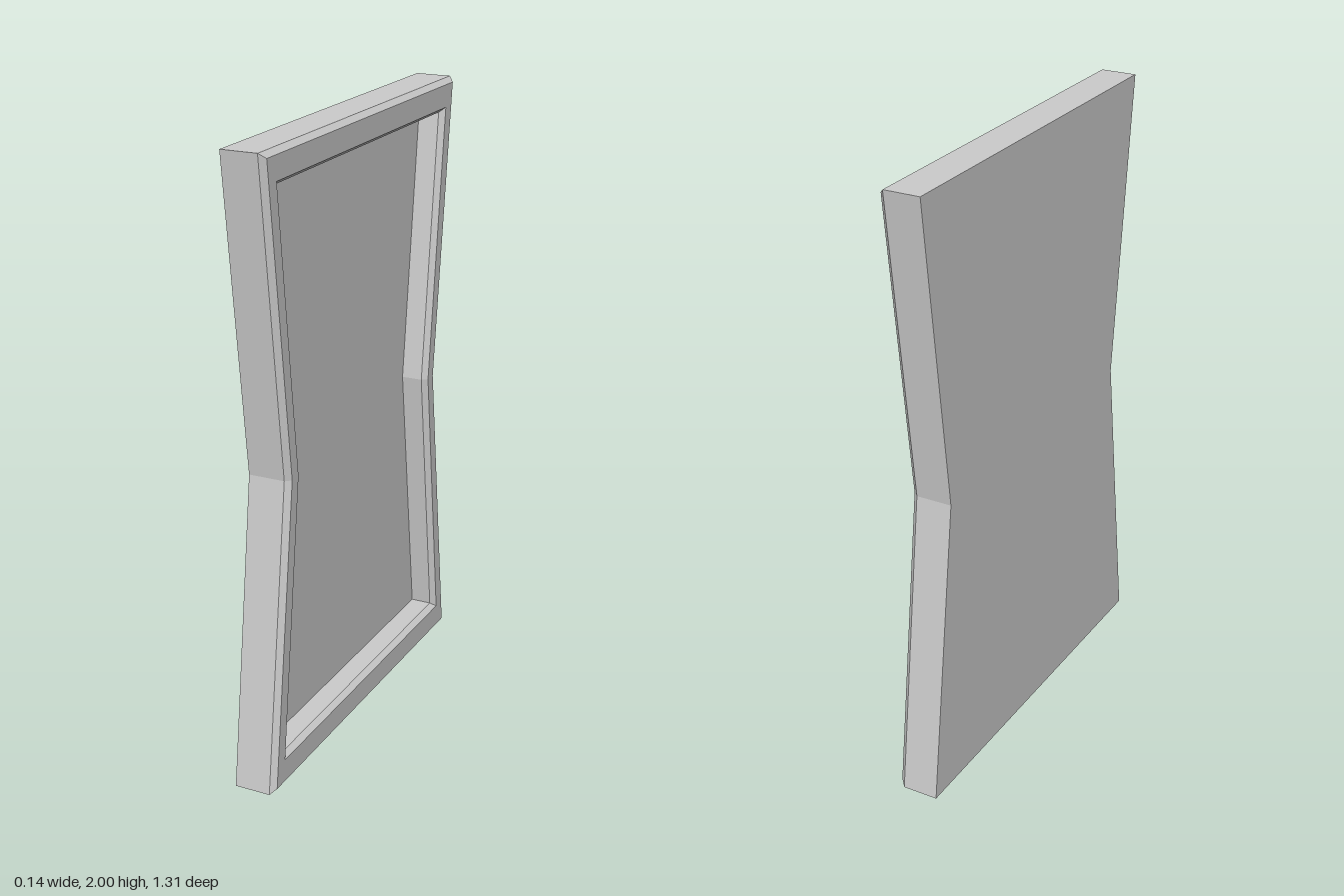
import * as THREE from 'three';

// Hourglass outline at depth x: y inset from top and bottom, half-widths at the ends and waist.
// Counter-clockwise when seen from +x.
function outline(x, inset, end, waist) {
  const lo = inset, hi = 2 - inset;
  return [[lo, end], [lo, -end], [1, -waist], [hi, -end], [hi, end], [1, waist]]
    .map(([y, z]) => new THREE.Vector3(x, y, z));
}

function quad(out, a, b, c, d) {
  out.push(a, b, c, a, c, d);
}

function makeMesh(name, points) {
  const geometry = new THREE.BufferGeometry().setFromPoints(points);
  geometry.computeVertexNormals();
  const material = new THREE.MeshStandardMaterial({ color: 0xcccccc, flatShading: true });
  const mesh = new THREE.Mesh(geometry, material);
  mesh.name = name;
  return mesh;
}

export function createModel() {
  const group = new THREE.Group();
  group.name = 'framedPanel';

  // Profile from the back edge, round the outside, over the face and into the recess
  const rings = [
    outline(-0.068, 0, 0.656, 0.531),
    outline(0.05, 0, 0.656, 0.531),         // outer bevel starts
    outline(0.068, 0.016, 0.638, 0.515),    // front face
    outline(0.068, 0.09, 0.584, 0.475),     // inner bevel starts
    outline(0.05, 0.105, 0.567, 0.459),     // recess wall
    outline(-0.02, 0.105, 0.567, 0.459),
  ];

  // Bevelled frame
  const frame = [];
  for (let i = 0; i < rings.length - 1; i++) {
    const r = rings[i], s = rings[i + 1];
    for (let j = 0; j < 6; j++) {
      const k = (j + 1) % 6;
      quad(frame, r[j], r[k], s[k], s[j]);
    }
  }
  group.add(makeMesh('frame', frame));

  // Recessed panel, split at the waist
  const p = rings[rings.length - 1], panel = [];
  quad(panel, p[0], p[1], p[2], p[5]);
  quad(panel, p[5], p[2], p[3], p[4]);
  group.add(makeMesh('recessedPanel', panel));

  // Flat back
  const b = rings[0], back = [];
  quad(back, b[5], b[2], b[1], b[0]);
  quad(back, b[4], b[3], b[2], b[5]);
  group.add(makeMesh('back', back));

  return group;
}
